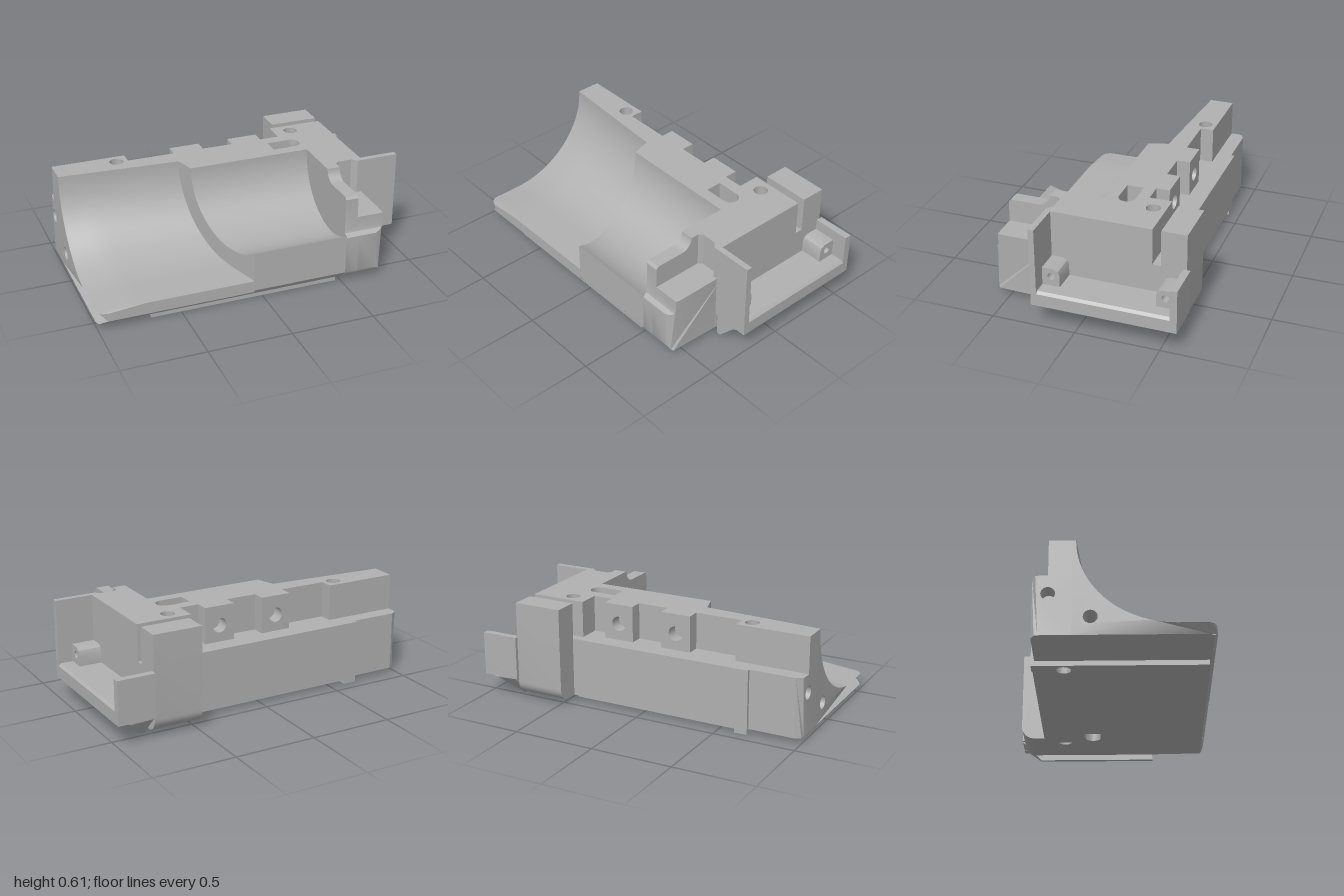
import * as THREE from 'three';
import { toCreasedNormals } from 'three/addons/utils/BufferGeometryUtils.js';

const metal = new THREE.MeshStandardMaterial({ color: 0xb0b0b0 });
metal.name = 'greyMetal';

// Points on an ellipse arc
function arc(cx, cy, rx, ry, from, to, n) {
  return Array.from({ length: n + 1 }, (_, i) => {
    const a = from + (to - from) * i / n;
    return [cx + rx * Math.cos(a), cy + ry * Math.sin(a)];
  });
}

// Solid swept along 'x' (profile in z,y) or 'z' (profile in x,y).
// profile may change with t; start and end may vary across the section.
function sweep(axis, profile, start, end, { steps = 1, holes = [] } = {}) {
  const s = axis === 'x' ? -1 : 1;
  const fn = f => (typeof f === 'function' ? f : () => f);
  const pos = [];
  const prof = fn(profile), w0 = fn(start), w1 = fn(end);
  const layer = t => [prof(t), ...holes].map((ring, k) => {
    const flat = ring.map(([u, v]) => new THREE.Vector2(s * u, v));
    if (THREE.ShapeUtils.isClockWise(flat) === (k === 0)) flat.reverse();
    return flat;
  });
  const place = (p, t) => {
    const a = w0(s * p.x, p.y), b = w1(s * p.x, p.y);
    return [p.x, p.y, a + (b - a) * t];
  };
  const cap = (rings, t, flip) => {
    const all = rings.flat();
    for (const f of THREE.ShapeUtils.triangulateShape(rings[0], rings.slice(1))) {
      const q = f.map(i => place(all[i], t));
      if (flip) q.reverse();
      pos.push(...q.flat());
    }
  };
  for (let k = 0; k < steps; k++) {
    const t0 = k / steps, t1 = (k + 1) / steps;
    const A = layer(t0), B = layer(t1);
    A.forEach((ring, r) => ring.forEach((p, i) => {
      const j = (i + 1) % ring.length;
      const a = place(p, t0), b = place(ring[j], t0);
      const c = place(B[r][j], t1), d = place(B[r][i], t1);
      pos.push(...a, ...b, ...c, ...a, ...c, ...d);
    }));
  }
  cap(layer(0), 0, true);
  cap(layer(1), 1, false);
  const g = new THREE.BufferGeometry();
  g.setAttribute('position', new THREE.Float32BufferAttribute(pos, 3));
  if (axis === 'x') g.rotateY(Math.PI / 2);
  return toCreasedNormals(g, 0.5);
}

// Plan outline (x,z) raised from y0 to y1, with vertical openings
function slab(points, y0, y1, holes) {
  const shape = new THREE.Shape(points.map(([x, z]) => new THREE.Vector2(x, -z)));
  shape.holes = holes;
  const g = new THREE.ExtrudeGeometry(shape, { depth: y1 - y0, bevelEnabled: false, curveSegments: 14 });
  g.rotateX(-Math.PI / 2).translate(0, y0, 0);
  return toCreasedNormals(g, 0.5);
}

const roundHole = (x, z, r) => new THREE.Path().absarc(x, -z, r, 0, Math.PI * 2, true);

export function createModel() {
  const model = new THREE.Group();
  model.name = 'machinedBracket';
  const add = (name, geometry) => {
    const m = new THREE.Mesh(geometry, metal);
    m.name = name;
    model.add(m);
  };
  const box = (name, x0, x1, y0, y1, z0, z1) => add(name,
    new THREE.BoxGeometry(x1 - x0, y1 - y0, z1 - z0).translate((x0 + x1) / 2, (y0 + y1) / 2, (z0 + z1) / 2));

  const TOP = 0.61, BASE = 0.03, LEDGE = 0.39, BACK = -0.19, AXIS = 0.375;
  const seam = z => -0.27 + 0.296 * (z + 0.12);
  const corner = (d, r) => (d > 0 ? r - Math.sqrt(Math.max(0, r * r - d * d)) : 0);

  // Wide, slightly flared trough with rounded outer corner
  const frontZ = [0.53, 0.55, 0.57, 0.582, 0.59];
  add('wideTrough', sweep('x', t => {
    const yb = 0.1 + 0.022 * Math.min(1, t * 4), zl = -0.17 + 0.05 * t;
    return [
      [BACK, BASE], ...frontZ.map(z => [z, BASE + Math.max(0, z - 0.57)]),
      ...frontZ.slice().reverse().map(z => [z, yb]),
      ...arc(AXIS, TOP, AXIS - zl, TOP - yb, -Math.PI / 2, -Math.PI, 28),
      [BACK, TOP],
    ];
  }, z => -1 + corner(z - 0.53, 0.06), seam, { steps: 12, holes: [arc(-0.09, 0.14, 0.04, 0.04, 0, Math.PI * 1.9, 19)] }));

  // Narrow trough behind the slanted shoulder
  add('narrowTrough', sweep('x', [
    [0, BASE], [0.57, BASE], [0.59, 0.06],
    ...arc(AXIS, TOP, 0.375, 0.375, -0.9604, -Math.PI, 32),
  ], seam, 0.52));

  // Rear body: upper deck, lower ledge and bottom pad
  const slot = () => {
    const p = new THREE.Path();
    p.moveTo(0.33, 0.07);
    p.lineTo(0.33, 0.17);
    p.lineTo(0.47, 0.17);
    p.absarc(0.47, 0.12, 0.05, Math.PI / 2, -Math.PI / 2, true);
    p.closePath();
    return p;
  };
  const openings = () => [roundHole(-0.62, -0.25, 0.042), roundHole(0.54, -0.3, 0.042), slot()];
  const inner = [
    [seam(BACK), BACK], [seam(0), 0], [0.52, 0], [0.52, 0.29], [0.6, 0.29],
    [0.6, 0.25], [0.62, 0.23], [0.71, 0.23], [0.73, 0.25], [0.74, 0.26], [0.77, 0.26],
  ];
  add('upperDeck', slab([[-1, BACK], ...inner, [0.77, -0.375], [0.43, -0.375], [0.43, -0.24],
    [-0.55, -0.24], [-0.55, -0.32], [-1, -0.32]], LEDGE, TOP, openings()));
  add('lowerBody', slab([[-0.9, BACK], ...inner, [0.77, -0.43], [-0.68, -0.43], [-0.68, -0.41],
    [-0.9, -0.41]], BASE, LEDGE, openings()));
  add('bottomPad', slab([[-0.68, 0.56], [0.47, 0.56], [0.47, -0.07], [0.33, -0.07], [0.33, -0.17],
    [0.47, -0.17], [0.47, -0.38], [-0.6, -0.38], [-0.6, -0.43], [-0.68, -0.43]], 0, BASE,
  [roundHole(-0.62, -0.25, 0.042)]));

  // Drilled end of the rear body
  add('rearEnd', sweep('x', [
    [BACK, BASE], [BACK, LEDGE], [-0.37, LEDGE], [-0.39, LEDGE], [-0.41, LEDGE],
    [-0.41, BASE], [-0.39, BASE], [-0.37, BASE],
  ], z => -1 + corner(-0.37 - z, 0.04), -0.9, { holes: [arc(-0.32, 0.28, 0.04, 0.04, 0, Math.PI * 1.9, 19)] }));

  // Drilled lugs on the ledge
  for (const x of [-0.165, 0.215]) {
    add('lug', sweep('z', [[x - 0.095, LEDGE], [x + 0.095, LEDGE], [x + 0.095, TOP], [x - 0.095, TOP]],
      -0.32, -0.235, { holes: [arc(x, 0.49, 0.045, 0.045, 0, Math.PI * 1.9, 19)] }));
  }

  // Front post and the lower block beside it
  const lower = [[0.2, BASE], [0.57, BASE], [0.58, 0.04], [0.59, 0.06], [0.59, 0.29], [0.58, 0.302], [0.565, 0.31], [0.56, 0.33]];
  add('frontPost', sweep('x', [
    ...lower, [0.56, 0.525], [0.545, 0.54],
    ...arc(0.37, TOP, 0.07, 0.07, -Math.PI / 2, -Math.PI, 8), [0.2, TOP],
  ], 0.52, 0.6));
  add('frontBlock', sweep('x', [...lower, [0.56, 0.4], [0.54, 0.4], [0.2, 0.4]],
    0.6, z => 0.77 - corner(z - 0.53, 0.06)));

  // Rear tower with rounded foot, separated from the deck by a slot
  add('rearTower', sweep('x', [
    [-0.425, BASE], [-0.425, TOP], [-0.575, TOP],
    ...arc(-0.495, 0.11, 0.08, 0.08, -Math.PI, -Math.PI / 2, 8),
  ], 0.47, 0.77));

  // Side tray: bevelled floor, two walls and two drilled corner bosses
  add('trayFloor', sweep('z', [
    [0.77, 0.13], [0.785, 0.13], [0.785, 0], [0.81, 0], [0.915, 0.115], [0.94, 0.13],
    [1, 0.13], [1, 0.205], [0.985, 0.22], [0.77, 0.22],
  ], (x, y) => -0.47 - 0.125 * Math.min(1, y / 0.13), 0.26));
  box('trayFrontWall', 0.77, 1, 0.13, TOP, 0.225, 0.26);
  box('trayBackWall', 0.77, 1, 0.13, 0.395, -0.595, -0.553);
  for (const [wall, dir, c] of [[0.235, -1, 0.17], [-0.56, 1, -0.5]]) {
    const edge = wall + dir * 0.115;
    add('trayBoss', sweep('x', [
      [wall, 0.21], [edge, 0.21], [edge, 0.29], [edge - dir * 0.01, 0.315],
      [edge - dir * 0.035, 0.328], [wall, 0.328],
    ], 0.765, 0.91, { holes: [arc(c, 0.278, 0.022, 0.022, 0, Math.PI * 1.9, 15)] }));
  }
  return model;
}
